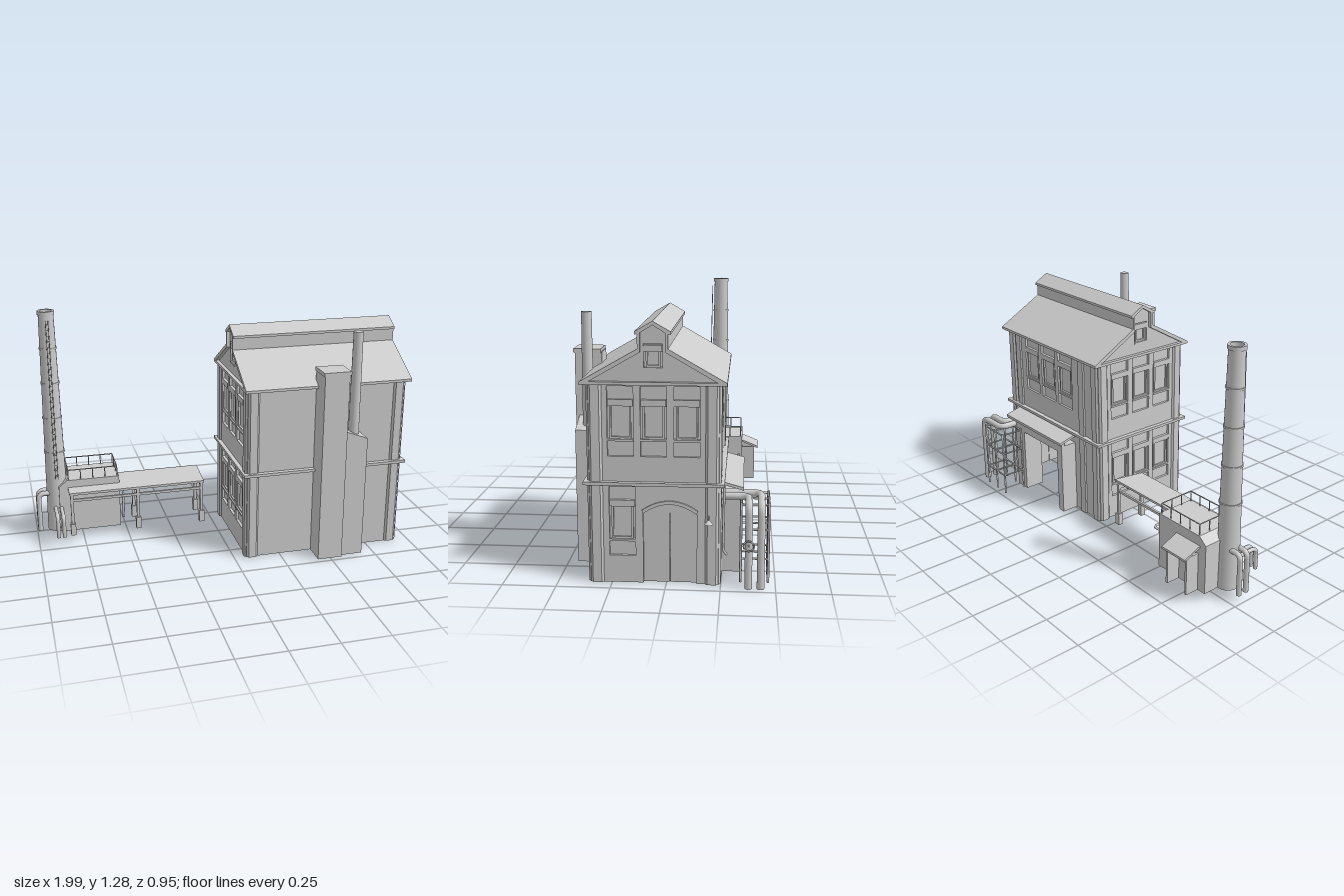
import * as THREE from 'three';

const mat = new THREE.MeshStandardMaterial({ color: 0xcccccc, side: THREE.DoubleSide });
const V = (p) => new THREE.Vector3(...p);

function add(parent, name, geo, pos = [0, 0, 0], rot = [0, 0, 0]) {
  const m = new THREE.Mesh(geo, mat);
  m.name = name;
  m.position.set(...pos);
  m.rotation.set(...rot);
  parent.add(m);
  return m;
}
// Box given by its minimum and maximum corners
function box(parent, name, a, b) {
  return add(parent, name, new THREE.BoxGeometry(b[0] - a[0], b[1] - a[1], b[2] - a[2]),
    a.map((v, i) => (v + b[i]) / 2));
}
const shapeOf = (pts) => new THREE.Shape(pts.map((p) => new THREE.Vector2(...p)));
const rect = (u0, v0, u1, v1) => shapeOf([[u0, v0], [u1, v0], [u1, v1], [u0, v1]]);
const extrude = (shape, depth) => new THREE.ExtrudeGeometry(shape, { depth, bevelEnabled: false, curveSegments: 12 });
// Straight bar between two points
function rod(parent, name, a, b, r = 0.004) {
  const d = V(b).sub(V(a));
  const m = add(parent, name, new THREE.CylinderGeometry(r, r, d.length(), 6));
  m.position.copy(V(a)).addScaledVector(d, 0.5);
  m.quaternion.setFromUnitVectors(new THREE.Vector3(0, 1, 0), d.normalize());
}
// Pipe through corner points with rounded bends
function pipe(parent, name, pts, r, bend = 0.045) {
  const p = pts.map(V), path = new THREE.CurvePath();
  let last = p[0];
  for (let i = 1; i < p.length - 1; i++) {
    const a = p[i].clone().add(p[i - 1].clone().sub(p[i]).setLength(bend));
    const b = p[i].clone().add(p[i + 1].clone().sub(p[i]).setLength(bend));
    path.add(new THREE.LineCurve3(last, a));
    path.add(new THREE.QuadraticBezierCurve3(a, p[i], b));
    last = b;
  }
  path.add(new THREE.LineCurve3(last, p[p.length - 1]));
  add(parent, name, new THREE.TubeGeometry(path, 48, r, 10));
}

// Wall panel facing local +z, with recessed window bays: [centre, bottom, top, paneBottom, paneTop, width]
function wall(parent, name, outline, bays, pos, ry) {
  const g = new THREE.Group();
  g.name = name;
  g.position.set(...pos);
  g.rotation.y = ry;
  parent.add(g);
  const face = shapeOf(outline);
  for (const [c, v0, v1, p0, p1, w] of bays) {
    const h = w / 2, f = h - 0.01;
    face.holes.push(rect(c - h, v0, c + h, v1));
    box(g, 'bayPanel', [c - h, v0, -0.026], [c + h, v1, -0.014]);
    const frame = rect(c - f, p0, c + f, p1);
    frame.holes.push(rect(c - f + 0.009, p0 + 0.009, c + f - 0.009, p1 - 0.009));
    add(g, 'windowFrame', extrude(frame, 0.01), [0, 0, -0.014]);
    box(g, 'lintel', [c - h + 0.002, p1 - 0.03, -0.014], [c + h - 0.002, p1, 0.002]);
    box(g, 'sill', [c - h, p0 - 0.01, -0.014], [c + h, p0, 0.004]);
  }
  add(g, 'wallFace', extrude(face, 0.02), [0, 0, -0.02]);
  return g;
}

function building(root) {
  const g = new THREE.Group();
  g.name = 'mainBuilding';
  root.add(g);
  const X = 0.495, Z = 0.055, HX = 0.43, HZ = 0.295;
  const gable = [[HZ, 0.94], [0.06, 1.075], [0.06, 1.165], [0, 1.2], [-0.06, 1.165], [-0.06, 1.075], [-HZ, 0.94]];
  const upper = [-0.15, 0, 0.15].map((c) => [c, 0.6, 0.92, 0.68, 0.86, 0.118]);
  const attic = [0, 1, 1.11, 1.005, 1.105, 0.085];
  const lower = (c) => [c, 0.13, 0.457, 0.21, 0.395, 0.12];

  // End walls; the right one has an arched doorway
  wall(g, 'leftEndWall', [[-HZ, 0], [HZ, 0], ...gable],
    [...upper, attic, lower(-0.15), lower(0), lower(0.15)], [X - HX, 0, Z], -Math.PI / 2);
  const arch = new THREE.QuadraticBezierCurve(new THREE.Vector2(-0.05, 0.335),
    new THREE.Vector2(0.0725, 0.425), new THREE.Vector2(0.195, 0.335)).getPoints(12).map((p) => [p.x, p.y]);
  const right = wall(g, 'rightEndWall', [[-HZ, 0], [-0.05, 0], ...arch, [0.195, 0], [HZ, 0], ...gable],
    [...upper, attic, lower(-0.145)], [X + HX, 0, Z], Math.PI / 2);
  const trim = shapeOf([...arch, ...arch.map(([u, v]) => [0.0725 + (u - 0.0725) * 1.04, v + 0.016]).reverse()]);
  add(right, 'doorArch', extrude(trim, 0.012), [0, 0, -0.004]);
  add(right, 'doorTransom', extrude(shapeOf(arch), 0.008), [0, 0, -0.022]);
  box(right, 'doorLeaf', [-0.05, 0, -0.03], [0.071, 0.335, -0.018]);
  box(right, 'doorLeaf', [0.074, 0, -0.03], [0.195, 0.335, -0.018]);

  // Long walls; the back one has a loading opening
  wall(g, 'frontWall', [[-HX, 0], [HX, 0], [HX, 0.94], [-HX, 0.94]], [], [X, 0, Z + HZ], 0);
  wall(g, 'backWall', [[-HX, 0], [-0.175, 0], [-0.175, 0.38], [0.155, 0.38], [0.155, 0], [HX, 0], [HX, 0.94], [-HX, 0.94]],
    [0.125, -0.035, -0.195].map((c) => [c, 0.6, 0.92, 0.68, 0.86, 0.13]), [X, 0, Z - HZ], Math.PI);

  // Chamfered corner piers and back pilasters
  const a = 0.042, b = 0.02;
  const pier = extrude(shapeOf([[-a, -b], [-b, -a], [b, -a], [a, -b], [a, b], [b, a], [-b, a], [-a, b]]), 0.935);
  for (const sx of [-1, 1]) for (const sz of [-1, 1])
    add(g, 'cornerPier', pier, [X + sx * 0.398, 0, Z + sz * 0.263], [-Math.PI / 2, 0, 0]);
  for (const x of [0.19, 0.8]) box(g, 'backPilaster', [x, 0, -0.25], [x + 0.045, 0.93, -0.22]);

  // Cornice bands round the building
  for (const [y, h, o] of [[0.468, 0.015, 0.453], [0.928, 0.014, 0.45]]) {
    const ring = rect(X - o, -(Z + o - 0.133), X + o, -(Z - o + 0.133));
    ring.holes.push(rect(X - 0.42, -(Z + 0.285), X + 0.42, -(Z - 0.285)));
    add(g, 'corniceBand', extrude(ring, h), [0, y, 0], [-Math.PI / 2, 0, 0]);
  }

  // Pitched roof with raised ridge monitor
  const outer = [[0.328, 0.928], [0.328, 0.942], [0.068, 1.09], [0.068, 1.155], [0.08, 1.153], [0.08, 1.166], [0, 1.212]];
  const inner = [[0, 1.194], [0.056, 1.16], [0.056, 1.075], [0.305, 0.932]];
  const flip = (pts) => pts.map(([u, v]) => [-u, v]).reverse();
  add(g, 'roof', extrude(shapeOf([...outer, ...flip(outer).slice(1), ...flip(inner), ...inner.slice(1)]
    .filter((p, i, s) => !i || p[0] !== s[i - 1][0] || p[1] !== s[i - 1][1])), 0.904), [0.045, 0, Z], [0, Math.PI / 2, 0]);

  // Front stack, boiler flue and its pipe
  box(g, 'frontStack', [0.43, 0, 0.34], [0.563, 1.02, 0.472]);
  box(g, 'frontStackCap', [0.424, 1.015, 0.345], [0.569, 1.035, 0.478]);
  add(g, 'flueHousing', extrude(shapeOf([[0.563, 0], [0.685, 0], [0.685, 0.66], [0.563, 0.707]]), 0.11), [0, 0, 0.345]);
  add(g, 'fluePipe', new THREE.CylinderGeometry(0.025, 0.028, 0.56, 16), [0.626, 0.94, 0.4]);

  // Lean-to over the loading opening
  box(g, 'leanToPier', [0.29, 0, -0.335], [0.335, 0.41, -0.23]);
  box(g, 'leanToPier', [0.67, 0, -0.335], [0.76, 0.41, -0.23]);
  box(g, 'leanToBeam', [0.29, 0.37, -0.335], [0.76, 0.425, -0.315]);
  add(g, 'leanToRoof', extrude(shapeOf([[0.235, 0.455], [0.235, 0.468], [0.35, 0.437], [0.35, 0.422]]), 0.55),
    [0.83, 0, 0], [0, Math.PI / 2, 0]).scale.set(1, 1, -1);

  // Wall lamp
  add(g, 'lampShade', new THREE.ConeGeometry(0.02, 0.022, 12), [0.972, 0.316, -0.195]);
  rod(g, 'lampArm', [0.925, 0.33, -0.195], [0.972, 0.325, -0.195], 0.003);

  // Process pipes with valve and support frame
  for (const [x, z] of [[0.77, -0.432], [0.825, -0.376]])
    pipe(g, 'processPipe', [[x, 0.395, -0.22], [x, 0.395, z], [0.957, 0.395, z], [0.957, 0, z]], 0.018);
  add(g, 'valveWheel', new THREE.TorusGeometry(0.024, 0.004, 6, 12), [0.982, 0.21, -0.376], [0, Math.PI / 2, 0]);
  rod(g, 'valveStem', [0.957, 0.21, -0.376], [0.984, 0.21, -0.376]);
  pipe(g, 'drainHose', [[0.87, 0.47, -0.24], [0.87, 0.46, -0.262], [0.87, 0.15, -0.258], [0.87, 0.125, -0.275]], 0.006, 0.012);
  const xs = [0.7, 0.79, 0.885], zs = [-0.467, -0.34];
  for (const x of xs) for (const z of zs) rod(g, 'framePost', [x, 0, z], [x, 0.385, z], 0.006);
  for (const y of [0.115, 0.255, 0.375]) {
    for (const z of zs) rod(g, 'frameRail', [xs[0], y, z], [xs[2], y, z], 0.005);
    for (const x of xs) rod(g, 'frameTie', [x, y, zs[0]], [x, y, zs[1]], 0.005);
  }
}

function boilerHouse(root) {
  const g = new THREE.Group();
  g.name = 'boilerHouse';
  root.add(g);
  // Block with chamfered shoulder beside the chimney
  add(g, 'block', extrude(shapeOf([[-0.875, 0.045], [-0.54, 0.045], [-0.54, 0.347], [-0.83, 0.347], [-0.875, 0.31]]), 0.215), [0, 0, -0.335]);
  // Rear awning on side walls
  for (const x of [-0.825, -0.69]) box(g, 'awningSide', [x, 0.045, -0.41], [x + 0.012, 0.25, -0.33]);
  add(g, 'awningRoof', extrude(shapeOf([[0.33, 0.285], [0.33, 0.297], [0.432, 0.255], [0.432, 0.243]]), 0.165),
    [-0.67, 0, 0], [0, Math.PI / 2, 0]).scale.set(1, 1, -1);

  // Railing round the block roof
  const x0 = -0.82, x1 = -0.55, z0 = -0.325, z1 = -0.13;
  for (const z of [z0, z1]) {
    rod(g, 'railing', [x0, 0.403, z], [x1, 0.403, z], 0.003);
    for (let i = 0; i < 5; i++) rod(g, 'railPost', [x0 + i * 0.0675, 0.345, z], [x0 + i * 0.0675, 0.403, z], 0.003);
  }
  for (const x of [x0, x1]) {
    rod(g, 'railing', [x, 0.403, z0], [x, 0.403, z1], 0.003);
    for (const z of [-0.26, -0.195]) rod(g, 'railPost', [x, 0.345, z], [x, 0.403, z], 0.003);
  }

  // Tapered chimney with hoops, hollow top and ladder
  const cx = -0.882, cz = -0.188, radius = (y) => 0.06 - 0.02 * (y - 0.045) / 1.24;
  const prof = [[0.06, 0.045], [radius(1.265), 1.265], [0.045, 1.265], [0.045, 1.285], [0.032, 1.285], [0.03, 1.1], [0, 1.1]];
  const stack = prof.map((p) => new THREE.Vector2(...p));
  for (let i = 0; i < stack.length - 1; i++)
    add(g, 'chimney', new THREE.LatheGeometry([stack[i], stack[i + 1]], 20), [cx, 0, cz]);
  for (const y of [0.505, 0.7, 0.895, 1.085]) {
    const r = radius(y) + 0.004;
    add(g, 'chimneyHoop', new THREE.CylinderGeometry(r, r, 0.01, 20), [cx, y, cz]);
  }
  const ladderZ = (y) => cz + radius(y) + 0.012;
  for (const dx of [-0.007, 0.007])
    rod(g, 'ladderRail', [cx + dx, 0.36, ladderZ(0.36)], [cx + dx, 1.24, ladderZ(1.24)], 0.002);
  for (let y = 0.38; y < 1.24; y += 0.03) rod(g, 'ladderRung', [cx - 0.007, y, ladderZ(y)], [cx + 0.007, y, ladderZ(y)], 0.0015);

  // Elbow pipes at the chimney foot
  for (const z of [-0.212, -0.165])
    pipe(g, 'sidePipe', [[cx, 0.265, z], [-0.985, 0.265, z], [-0.985, 0.045, z]], 0.014, 0.035);
  for (const x of [-0.897, -0.866])
    pipe(g, 'frontPipe', [[x, 0.185, cz], [x, 0.185, -0.005], [x, 0.065, -0.005]], 0.011, 0.035);
  for (const [z, y] of [[-0.315, 0.235], [-0.285, 0.195], [-0.255, 0.16]])
    rod(g, 'feedPipe', [-0.55, y, z], [-0.485, y, z], 0.006);
  pipe(g, 'feedPipe', [[-0.55, 0.235, -0.315], [-0.475, 0.235, -0.315], [-0.475, 0.235, -0.25]], 0.006, 0.03);
  pipe(g, 'downPipe', [[-0.55, 0.235, -0.255], [-0.503, 0.235, -0.255], [-0.503, 0.03, -0.255]], 0.007, 0.03);
}

function canopy(root) {
  const g = new THREE.Group();
  g.name = 'canopy';
  root.add(g);
  // Sloping sheet roof, edge beams and footed posts
  add(g, 'canopyRoof', extrude(shapeOf([[0.05, 0.284], [0.24, 0.306], [0.24, 0.318], [0.05, 0.297]]), 0.755),
    [-0.825, 0, 0], [0, Math.PI / 2, 0]);
  for (const z of [-0.225, -0.065]) box(g, 'canopyBeam', [-0.82, 0.242, z - 0.006], [-0.075, 0.256, z + 0.006]);
  for (const x of [-0.812, -0.447, -0.083]) {
    box(g, 'crossBeam', [x - 0.006, 0.262, -0.23], [x + 0.006, 0.285, -0.06]);
    for (const z of [-0.225, -0.065]) {
      box(g, 'canopyPost', [x - 0.008, 0.045, z - 0.008], [x + 0.008, 0.29, z + 0.008]);
      box(g, 'postFoot', [x - 0.014, 0.045, z - 0.014], [x + 0.014, 0.112, z + 0.014]);
    }
  }
  // The roof sheet is drawn in the z-down profile, so flip it into place
  g.getObjectByName('canopyRoof').scale.set(1, 1, 1);
}

export function createModel() {
  const root = new THREE.Group();
  root.name = 'factory';
  building(root);
  boilerHouse(root);
  canopy(root);
  return root;
}
